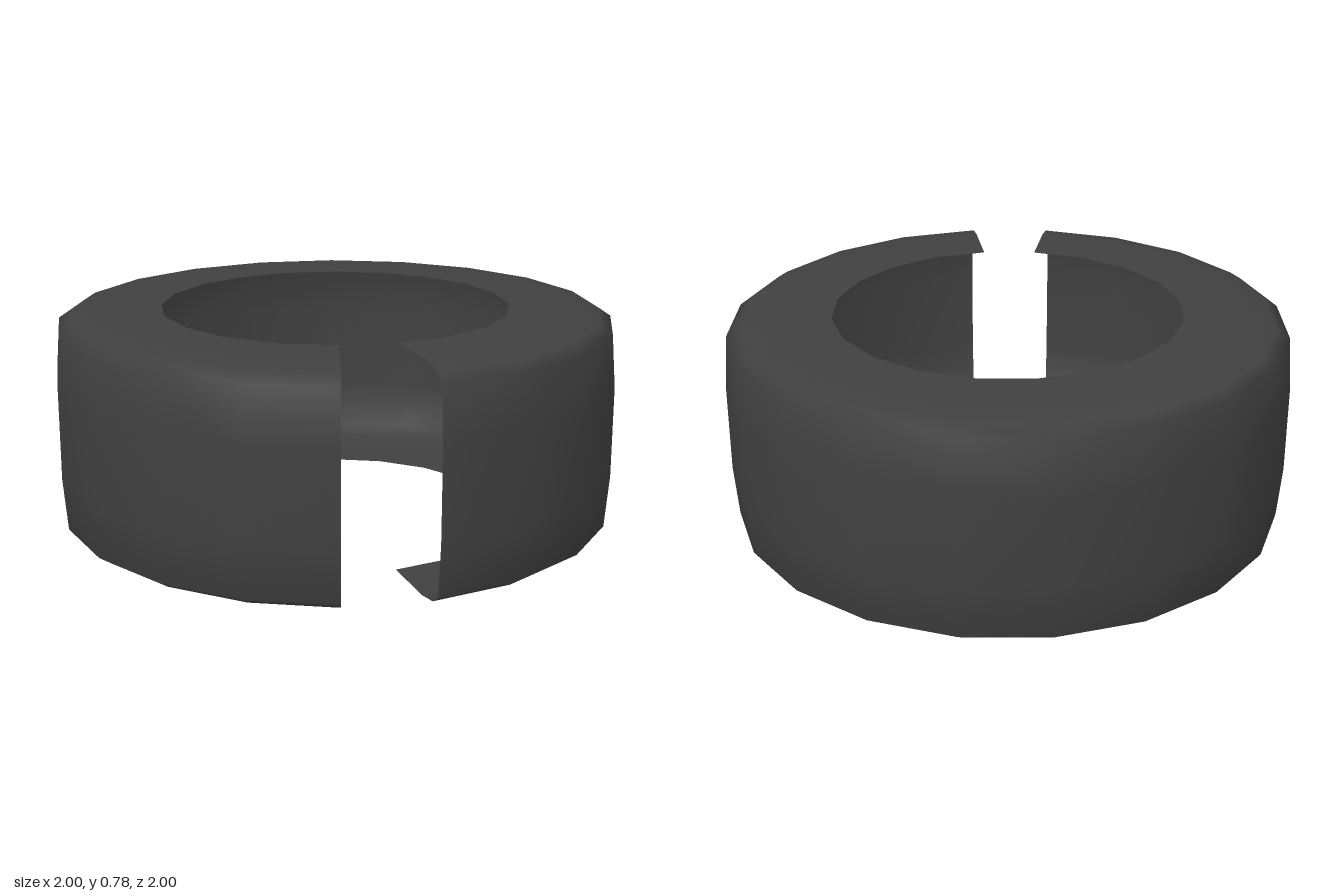
import * as THREE from 'three';

export function createModel() {
  const group = new THREE.Group();
  group.name = 'splitTyre';

  const rubber = new THREE.MeshStandardMaterial({ color: 0x404040, side: THREE.DoubleSide });
  rubber.name = 'dark rubber';

  // Upper half of the hollow C-shaped section: radius, height above the middle
  const height = 0.78;
  const half = [[1, 0.16], [0.985, 0.345], [0.94, 0.375], [0.85, 0.389], [0.62, 0.389]];
  const at = (sign) => ([r, h]) => new THREE.Vector2(r, height / 2 + sign * h);
  const profile = [...half.map(at(-1)).reverse(), ...half.map(at(1))];

  // Twenty-sided ring with one side left open at the front
  const sides = 20;
  const step = (Math.PI * 2) / sides;
  const shell = new THREE.Mesh(
    new THREE.LatheGeometry(profile, sides - 1, -step, step * (sides - 1)),
    rubber
  );
  shell.name = 'tyreShell';
  group.add(shell);

  return group;
}
